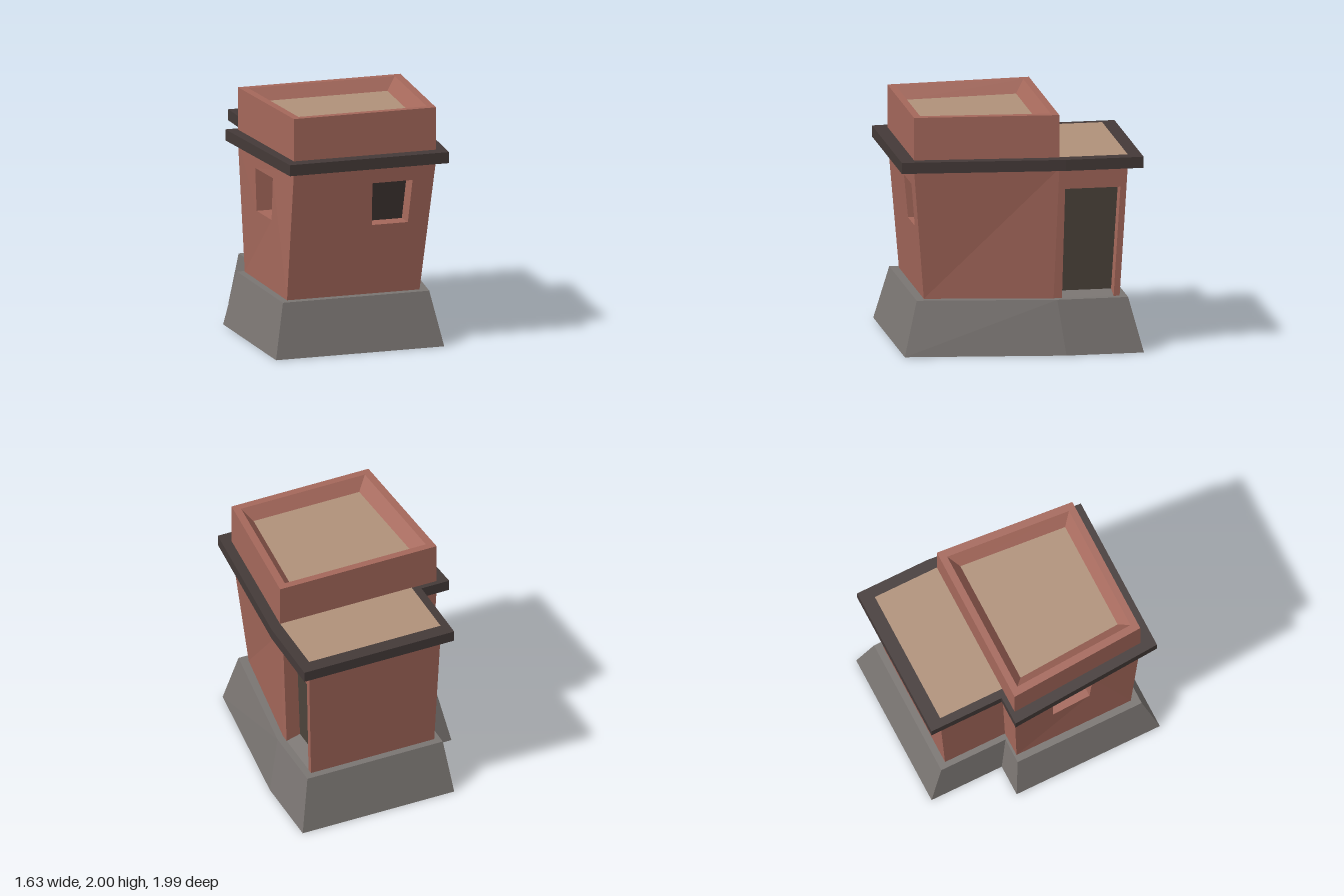
import * as THREE from 'three';

const mat = (color) => new THREE.MeshStandardMaterial({ color, flatShading: true });
const brick = mat(0xa5685b), stone = mat(0x7a7572), trim = mat(0x443a38);
const sand = mat(0xb0917a), glass = mat(0x3d3331), wood = mat(0x4d443c);

// Footprints run front-left, front-right, right bend, back-right, notch back, notch inner, left-back.
const BASE_BOTTOM = [[-0.82, 0.965], [0.64, 0.965], [0.815, -0.35], [0.815, -0.995], [-0.55, -0.995], [-0.55, -0.35], [-0.82, -0.35]];
const BASE_TOP = [[-0.72, 0.85], [0.55, 0.85], [0.72, -0.29], [0.72, -0.88], [-0.5, -0.88], [-0.5, -0.29], [-0.72, -0.29]];
const WALL_BOTTOM = [[-0.66, 0.78], [0.49, 0.78], [0.66, -0.27], [0.66, -0.82], [-0.45, -0.82], [-0.45, -0.27], [-0.66, -0.27]];
const WALL_TOP = [[-0.635, 0.88], [0.598, 0.88], [0.705, -0.31], [0.705, -0.88], [-0.48, -0.88], [-0.48, -0.31], [-0.705, -0.31]];
const ROOF = [[-0.71, 0.995], [0.67, 0.995], [0.8, -0.35], [0.8, -0.995], [-0.55, -0.995], [-0.55, -0.35], [-0.8, -0.35]];
const PARAPET = [WALL_TOP[0], WALL_TOP[1], WALL_TOP[2], WALL_TOP[6]];
const RIM = [[-0.575, 0.82], [0.54, 0.82], [0.635, -0.25], [-0.635, -0.25]];
const FLOOR = [[-0.49, 0.745], [0.462, 0.745], [0.545, -0.175], [-0.545, -0.175]];
const TERRACE = [[-0.48, -0.31], [0.705, -0.31], [0.705, -0.88], [-0.48, -0.88]];

const ring = (pts, y) => pts.map(([x, z]) => new THREE.Vector3(x, y, z));

// Quads joining two rings of equal length
const band = (a, b) => a.map((p, i) => {
  const j = (i + 1) % a.length;
  return [p, a[j], b[j], b[i]];
});

// Flat polygon facing up or down
function cap(pts, up = true) {
  const flat = pts.map((p) => new THREE.Vector2(p.x, -p.z));
  return THREE.ShapeUtils.triangulateShape(flat, [])
    .map((t) => (up ? t : [...t].reverse()).map((i) => pts[i]));
}

// Flat-shaded mesh from a list of convex polygons
function faces(name, material, polys) {
  const pts = [];
  for (const p of polys) {
    for (let i = 1; i < p.length - 1; i++) pts.push(p[0], p[i], p[i + 1]);
  }
  const geo = new THREE.BufferGeometry().setFromPoints(pts);
  geo.computeVertexNormals();
  const mesh = new THREE.Mesh(geo, material);
  mesh.name = name;
  return mesh;
}

// Place a (coordinate along axis, height) pair on a wall quad
function onWall([a, b, c, d], axis, [t, y]) {
  const v = (y - a.y) / (d.y - a.y);
  const left = a.clone().lerp(d, v), right = b.clone().lerp(c, v);
  return left.clone().lerp(right, (t - left[axis]) / (right[axis] - left[axis]));
}

export function createModel() {
  const model = new THREE.Group();

  // Sloping stone plinth
  const b0 = ring(BASE_BOTTOM, 0), b1 = ring(BASE_TOP, 0.45);
  model.add(faces('plinth', stone, [...band(b0, b1), ...cap(b1)]));
  model.add(faces('underside', brick, cap(b0, false)));

  // Flared walls, some with a recessed opening: corners go bl, br, tr, tl from outside
  const openings = {
    0: { name: 'frontWindow', axis: 'x', depth: [0, 0, -0.15], pane: glass,
      hole: [[0.06, 1.04], [0.37, 1.04], [0.4, 1.4], [0.05, 1.4]] },
    2: { name: 'door', axis: 'z', depth: [-0.12, 0, 0], pane: wood, sill: 0.035,
      hole: [[-0.34, 0.45], [-0.77, 0.45], [-0.82, 1.375], [-0.36, 1.375]] },
    6: { name: 'sideWindow', axis: 'z', depth: [0.15, 0, 0], pane: glass,
      hole: [[0.06, 1.04], [0.4, 1.04], [0.43, 1.4], [0.05, 1.4]] },
  };
  const wallPolys = [];
  band(ring(WALL_BOTTOM, 0.45), ring(WALL_TOP, 1.55)).forEach((quad, i) => {
    const o = openings[i];
    if (!o) return wallPolys.push(quad);
    const outer = o.hole.map((p) => onWall(quad, o.axis, p));
    const inner = outer.map((p) => p.clone().add(new THREE.Vector3(...o.depth)));
    if (o.sill) {
      inner[0].y += o.sill;
      inner[1].y += o.sill;
    }
    const reveal = band(outer, inner);
    if (o.sill) model.add(faces('doorSill', stone, [reveal.shift()]));
    wallPolys.push(...band(quad, outer), ...reveal);
    model.add(faces(o.name, o.pane, [inner]));
  });
  model.add(faces('walls', brick, wallPolys));

  // Overhanging roof slab with the low terrace behind the parapet
  const r0 = ring(ROOF, 1.55), r1 = ring(ROOF, 1.643);
  model.add(faces('roofSlab', trim, [...band(r0, r1), ...cap(r1), ...cap(r0, false)]));
  model.add(faces('terrace', sand, cap(ring(TERRACE, 1.646))));

  // Raised parapet with a bevelled inside and sunken floor
  const p0 = ring(PARAPET, 1.6), p1 = ring(PARAPET, 2);
  const rim = ring(RIM, 2), floor = ring(FLOOR, 1.9);
  model.add(faces('parapet', brick, [...band(p0, p1), ...band(p1, rim), ...band(rim, floor)]));
  model.add(faces('upperRoof', sand, cap(floor)));

  return model;
}
